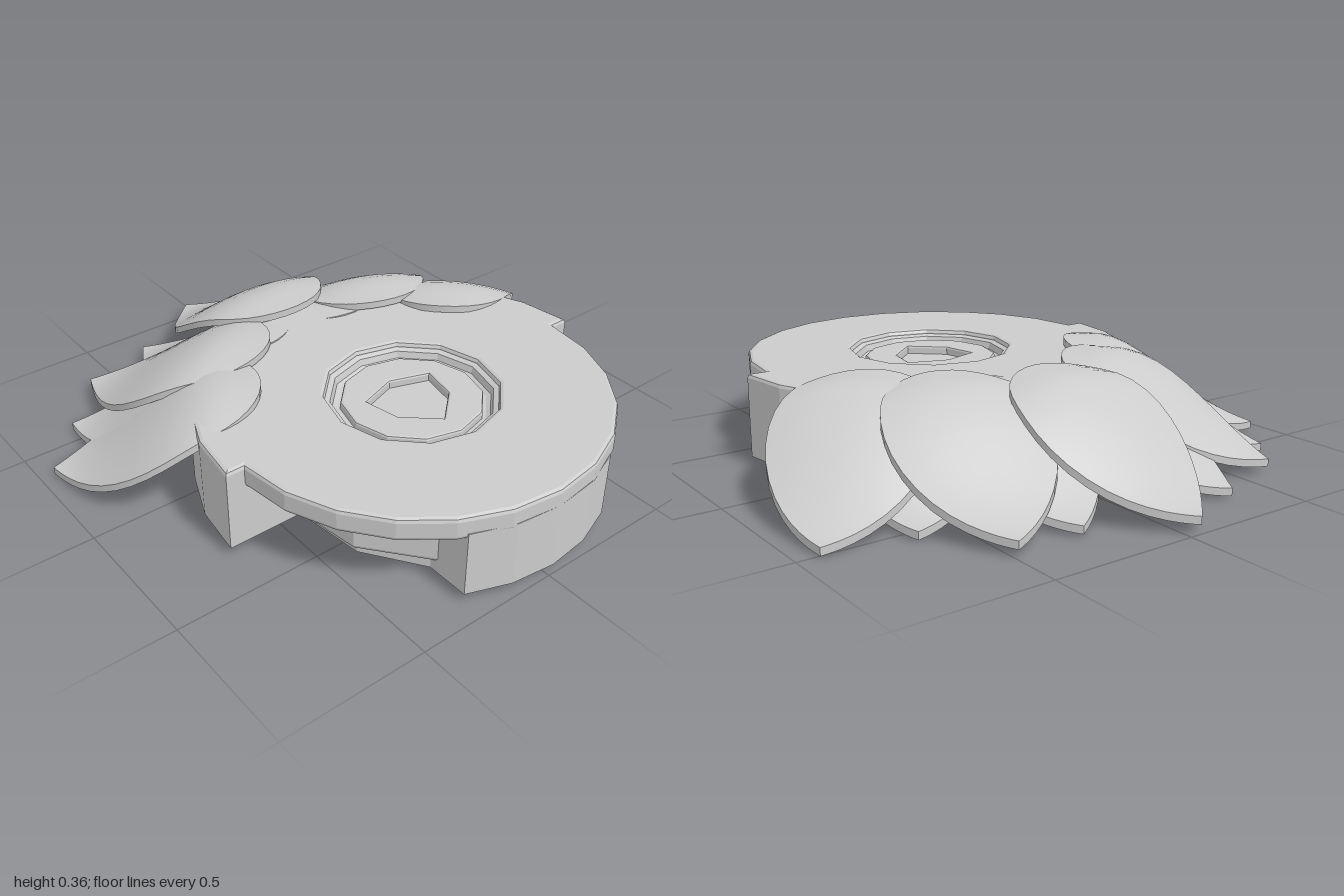
import * as THREE from 'three';
import { toCreasedNormals } from 'three/addons/utils/BufferGeometryUtils.js';

const material = new THREE.MeshStandardMaterial({ color: 0xcccccc });
const CX = 0.02, CZ = 0.335; // centre of the round body

// Points on an arc in plan; angles in degrees, 0 = +x, 90 = back
function arc(r, from, to, step = 15) {
  const pts = [];
  const n = Math.round(Math.abs(to - from) / step);
  for (let i = 0; i <= n; i++) {
    const a = THREE.MathUtils.degToRad(from + ((to - from) * i) / n);
    pts.push(new THREE.Vector2(r * Math.cos(a), r * Math.sin(a)));
  }
  return pts;
}

const mirrored = (pts) => pts.map(([x, y]) => [-x, y]).reverse();
const vectors = (pts) => pts.map(([x, y]) => new THREE.Vector2(x, y));

// Flat plan outline raised from y0 to y1, with optional bevel
function slab(name, outline, y0, y1, hole, bevel = 0) {
  const shape = new THREE.Shape(outline);
  if (hole) shape.holes.push(new THREE.Path(hole));
  const geo = new THREE.ExtrudeGeometry(shape, {
    depth: y1 - y0 - 2 * bevel, bevelEnabled: bevel > 0, bevelSegments: 2,
    bevelSize: bevel, bevelThickness: bevel, bevelOffset: -bevel,
  });
  geo.rotateX(-Math.PI / 2);
  geo.translate(CX, y0 + bevel, CZ);
  const mesh = new THREE.Mesh(geo, material);
  mesh.name = name;
  return mesh;
}

// Pointed, rounded petal draped from its base to its tip
function petal(name, [bx, bz], [tx, tz], topY, tipY, halfWidth = 0.265) {
  const N = 20, M = 10, thick = 0.026, ring = 2 * (M + 1);
  const len = Math.hypot(tx - bx, tz - bz);
  const dx = (tx - bx) / len, dz = (tz - bz) / len;
  const pos = [], index = [];
  for (let i = 0; i <= N; i++) {
    const t = (1 - Math.cos((Math.PI * i) / N)) / 2;
    const k = t < 0.42
      ? Math.sqrt(Math.max(0, 1 - ((0.42 - t) / 0.42) ** 2))
      : 1 - ((t - 0.42) / 0.58) ** 1.9;
    const y = topY - (topY - tipY) * THREE.MathUtils.smoothstep(t, 0.17, 1.02);
    for (let j = 0; j < ring; j++) {
      const top = j <= M;
      const u = top ? (2 * j) / M - 1 : 1 - (2 * (j - M - 1)) / M;
      const w = u * k * halfWidth;
      pos.push(
        bx + dx * len * t - dz * w,
        y - 0.045 * (u * k) ** 2 - (top ? 0 : thick),
        bz + dz * len * t + dx * w,
      );
      if (i < N) {
        const a = i * ring + j, b = i * ring + ((j + 1) % ring);
        index.push(a, b, a + ring, b, b + ring, a + ring);
      }
    }
  }
  const geo = new THREE.BufferGeometry();
  geo.setAttribute('position', new THREE.Float32BufferAttribute(pos, 3));
  geo.setIndex(index);
  const mesh = new THREE.Mesh(toCreasedNormals(geo, 0.7), material);
  mesh.name = name;
  return mesh;
}

export function createModel() {
  const model = new THREE.Group();

  // Lower body: round back, side recesses, front block
  const side = [[0.46, 0], [0.43, -0.25], [0.3, -0.44]];
  model.add(slab('lowerBody', [
    ...arc(0.725, 0, 180),
    ...vectors(mirrored(side).reverse()),
    ...arc(0.66, 243, 297, 13.5),
    ...vectors([...side].reverse()),
  ], 0.03, 0.26));

  // Raised belt inside the side recesses
  const belt = [[0.3, -0.47], [0.46, -0.27], [0.5, 0.02]];
  model.add(slab('recessBelt', vectors([...belt, ...mirrored(belt)]), 0.07, 0.2, null, 0.015));

  // Top plate with stepped sides and a twelve-sided opening
  model.add(slab('topPlate', [...arc(0.725, 0, 180), ...arc(0.66, 180, 360)],
    0.24, 0.32, arc(0.29, 0, 330, 30), 0.014));

  // Stepped dish in the opening
  const dishProfile = vectors([[0.22, 0.262], [0.25, 0.264], [0.265, 0.272], [0.272, 0.295], [0.3, 0.306]]);
  const dishGeo = new THREE.LatheGeometry(dishProfile, 12);
  const dish = new THREE.Mesh(toCreasedNormals(dishGeo, 0.3), material.clone());
  dish.material.side = THREE.DoubleSide;
  dish.position.set(CX, 0, CZ);
  dish.name = 'dish';
  model.add(dish);

  // Centre disc with a shield-shaped recess
  const shield = [[0, -0.155], [0.11, -0.055], [0.135, 0.07], [0, 0.115], [-0.135, 0.07], [-0.11, -0.055]];
  model.add(slab('centreDisc', arc(0.238, 0, 330, 30), 0.25, 0.29, vectors(shield), 0.008));

  // Upper petals: base, tip, top height, tip height
  const upper = new THREE.Group();
  upper.name = 'upperPetals';
  [
    [[0, -0.27], [-0.04, -1], 0.365, 0.055],
    [[0.28, -0.12], [0.49, -0.83], 0.356, 0.05],
    [[-0.26, -0.11], [-0.61, -0.75], 0.356, 0.05],
    [[0.43, 0.04], [0.93, -0.51], 0.35, 0.03],
    [[-0.38, 0.05], [-0.95, -0.37], 0.35, 0.03],
  ].forEach((p) => upper.add(petal('upperPetal', ...p)));
  model.add(upper);

  // Lower petals showing between the upper ones
  const lower = new THREE.Group();
  lower.name = 'lowerPetals';
  [
    [[0.14, -0.17], [0.25, -0.82], 0.325, 0.035],
    [[-0.15, -0.18], [-0.33, -0.85], 0.325, 0.035],
    [[0.33, -0.04], [0.65, -0.57], 0.32, 0.03],
    [[-0.35, -0.04], [-0.78, -0.57], 0.32, 0.026],
  ].forEach((p) => lower.add(petal('lowerPetal', ...p, 0.23)));
  model.add(lower);

  return model;
}
